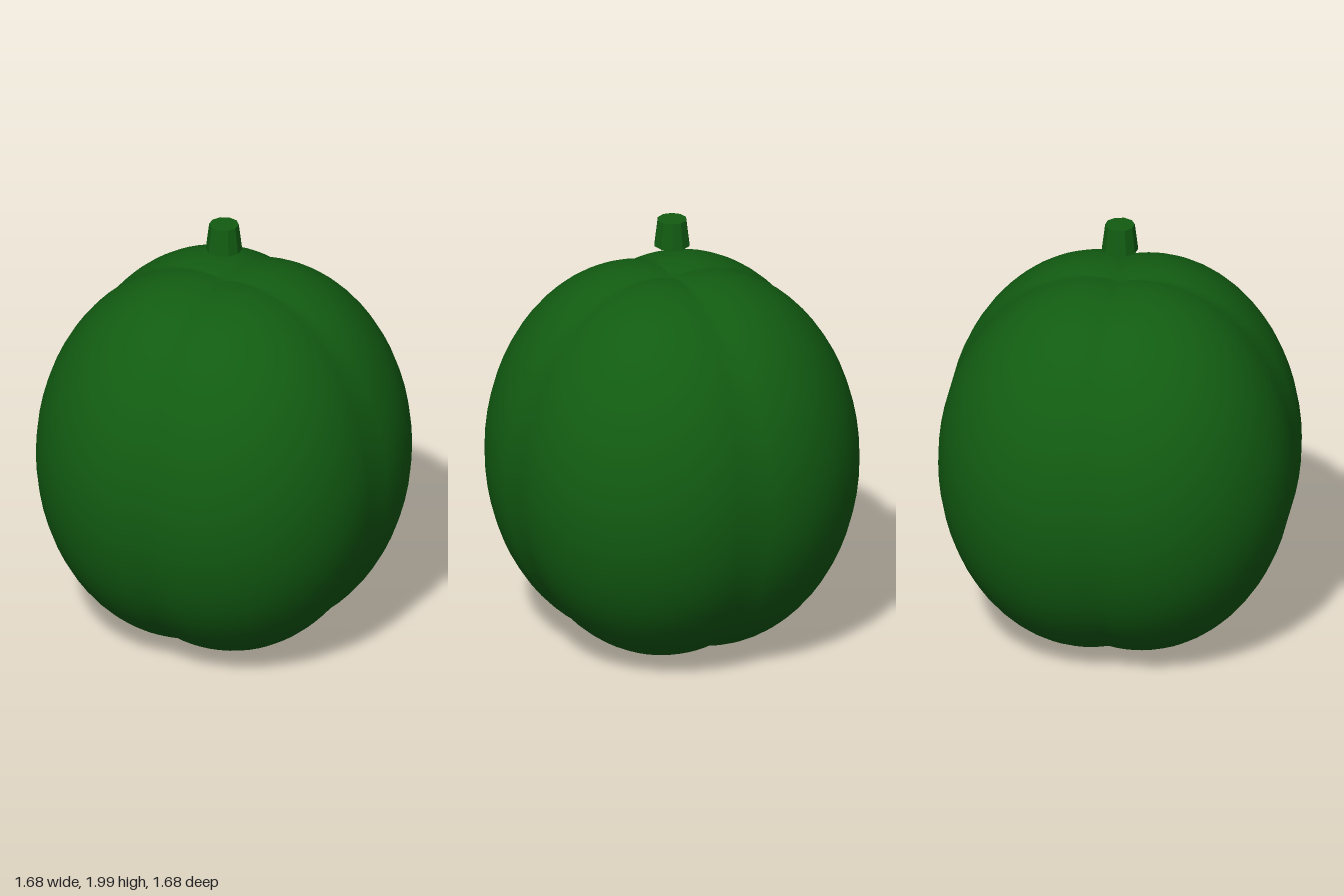
import * as THREE from 'three';
import { mergeVertices } from 'three/addons/utils/BufferGeometryUtils.js';

const R = 0.68;       // horizontal radius of one lobe
const OFFSET = 0.16;  // distance of each lobe centre from the axis
const HALF_H = 0.868; // half height of the body
const MID_Y = 0.873;

// Sphere pushed out to the envelope of four overlapping ellipsoid lobes
function lobedBody() {
  let geo = new THREE.SphereGeometry(1, 64, 40);
  geo.deleteAttribute('uv');
  geo.deleteAttribute('normal');
  geo = mergeVertices(geo, 1e-5);
  const pos = geo.attributes.position;
  const d = new THREE.Vector3();
  for (let i = 0; i < pos.count; i++) {
    d.fromBufferAttribute(pos, i).normalize();
    const along = OFFSET * Math.max(Math.abs(d.x), Math.abs(d.z));
    const reach = along + Math.sqrt(R * R - OFFSET * OFFSET + along * along);
    d.multiplyScalar(reach);
    pos.setXYZ(i, d.x, MID_Y + d.y * HALF_H / R, d.z);
  }
  geo.computeVertexNormals();
  return geo;
}

export function createModel() {
  const group = new THREE.Group();
  group.name = 'lobedFruit';
  const green = new THREE.MeshStandardMaterial({ color: 0x125c12 });
  green.name = 'dark green';
  const stemGreen = green.clone();
  stemGreen.name = 'stem green';
  stemGreen.flatShading = true;

  const body = new THREE.Mesh(lobedBody(), green);
  body.name = 'body';
  group.add(body);

  // Short tapered stem, set just above the crown
  const stem = new THREE.Mesh(new THREE.CylinderGeometry(0.066, 0.081, 0.122, 10), stemGreen);
  stem.name = 'stem';
  stem.position.y = 1.939;
  group.add(stem);

  return group;
}
